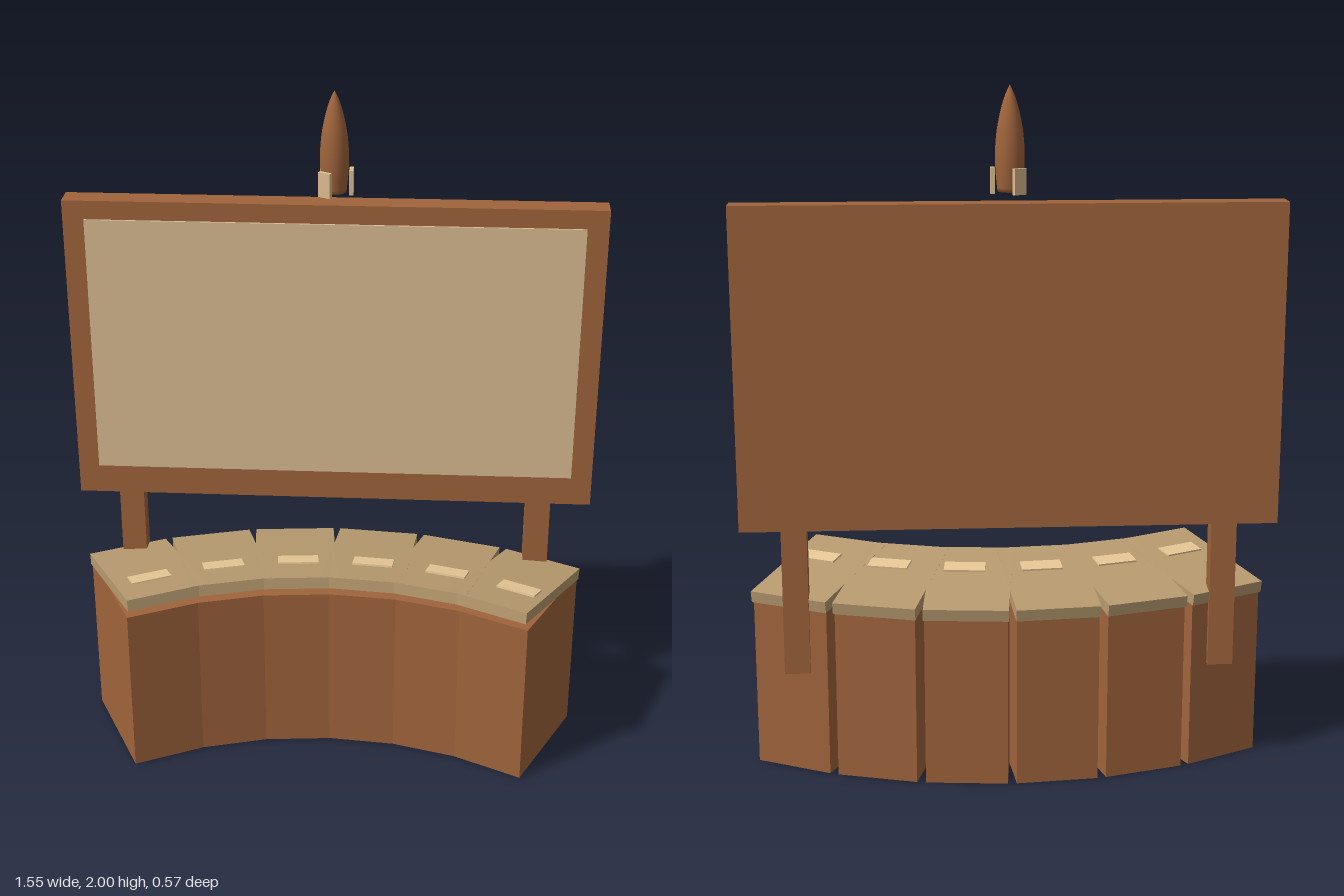
import * as THREE from 'three';

const material = (color) => new THREE.MeshStandardMaterial({ color });
const brown = material(0xa0643c);
const tan = material(0xdcbe91);
const topTan = material(0xb89b70);
const padTan = material(0xe8c896);

function box(name, w, h, d, mat, x = 0, y = 0, z = 0) {
  const mesh = new THREE.Mesh(new THREE.BoxGeometry(w, h, d), mat);
  mesh.name = name;
  mesh.position.set(x, y, z);
  return mesh;
}

// Curved desk: segments stand on an arc whose centre lies in front of it
const ARC_Z = 1.18, STEP = THREE.MathUtils.degToRad(10.45), TILT = THREE.MathUtils.degToRad(8);

function onArc(mesh, angle, radius, tilt = 0) {
  mesh.position.x = radius * Math.sin(angle);
  mesh.position.z = ARC_Z - radius * Math.cos(angle);
  mesh.rotation.order = 'YXZ';
  mesh.rotation.set(-tilt, -angle, 0);
  return mesh;
}

function createDesk() {
  const desk = new THREE.Group();
  desk.name = 'curvedDesk';
  for (let i = 0; i < 6; i++) {
    const a = (i - 2.5) * STEP;
    desk.add(onArc(box('deskBase', 0.24, 0.524, 0.37, brown, 0, 0.262), a, 1.27));
    desk.add(onArc(box('deskTop', 0.246, 0.035, 0.406, topTan, 0, 0.55), a, 1.263, TILT));
    // control pad, slightly proud of the sloping top
    const pad = onArc(box('controlPad', 0.122, 0.02, 0.055, padTan, 0, 0.572), a * 1.045, 1.2, TILT);
    pad.rotation.y = -a;
    pad.position.x += 0.012;
    desk.add(pad);
  }
  return desk;
}

// Large display on two legs
function createDisplay() {
  const display = new THREE.Group();
  display.name = 'display';
  display.add(box('displayFrame', 1.55, 0.93, 0.074, brown, 0, 1.215, -0.141));
  display.add(box('screen', 1.426, 0.784, 0.02, tan, 0, 1.233, -0.108));
  for (const side of [-1, 1]) {
    display.add(box('displayLeg', 0.074, 0.44, 0.06, brown, side * 0.62, 0.535, -0.144));
  }
  return display;
}

// Small rocket hovering above the display
function createRocket() {
  const rocket = new THREE.Group();
  rocket.name = 'rocket';
  const profile = new THREE.SplineCurve([
    [0.034, 0], [0.039, 0.05], [0.041, 0.1], [0.037, 0.16], [0.027, 0.215], [0.014, 0.26], [0, 0.29],
  ].map(([r, y]) => new THREE.Vector2(r, y)));
  const points = [new THREE.Vector2(0, 0), ...profile.getPoints(20)];
  points[points.length - 1].x = 0;
  const body = new THREE.Mesh(new THREE.LatheGeometry(points, 24), brown);
  body.name = 'rocketBody';
  rocket.add(body);
  for (let i = 0; i < 3; i++) {
    const a = (i * Math.PI * 2) / 3;
    const fin = box('rocketFin', 0.012, 0.072, 0.038, tan, 0.048 * Math.cos(a), 0.031, 0.048 * Math.sin(a));
    fin.rotation.y = -a;
    rocket.add(fin);
  }
  rocket.position.set(0, 1.71, -0.141);
  return rocket;
}

export function createModel() {
  const model = new THREE.Group();
  model.name = 'controlStation';
  model.add(createDesk(), createDisplay(), createRocket());
  return model;
}
